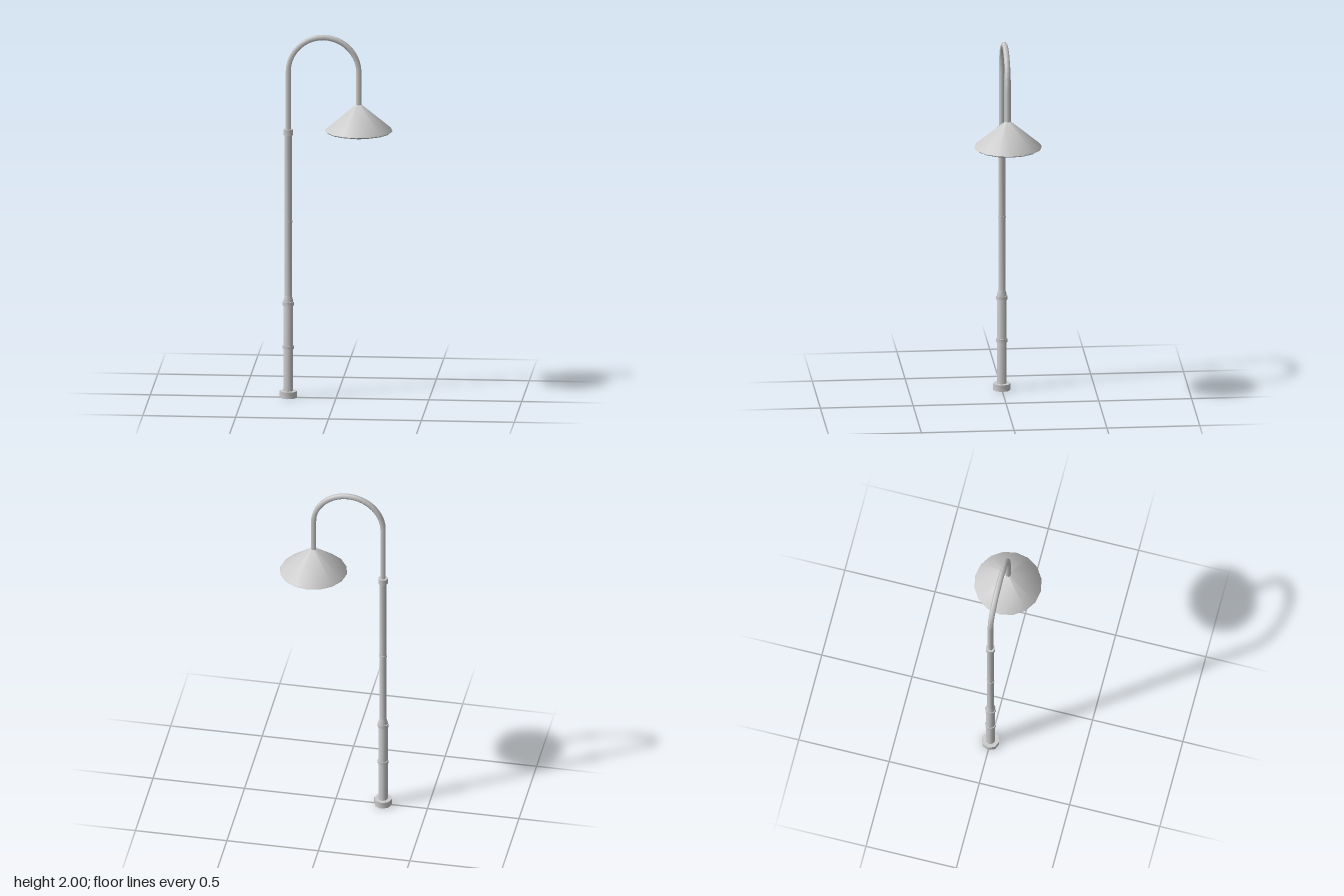
import * as THREE from 'three';
import { toCreasedNormals } from 'three/addons/utils/BufferGeometryUtils.js';

const POLE_X = -0.257, LAMP_X = 0.123;

export function createModel() {
  const group = new THREE.Group();
  const material = new THREE.MeshStandardMaterial({ color: 0xcccccc });

  const add = (name, geometry, x = 0, y = 0) => {
    const mesh = new THREE.Mesh(geometry, material);
    mesh.name = name;
    mesh.position.set(x, y, 0);
    group.add(mesh);
    return mesh;
  };
  // Revolved part from [radius, height] pairs, listed so the outside climbs upward
  const turned = (name, x, sides, profile) => {
    const points = profile.map(([r, y]) => new THREE.Vector2(r, y));
    add(name, toCreasedNormals(new THREE.LatheGeometry(points, sides), 0.85), x);
  };
  const band = (name, r, y0, y1) =>
    turned(name, POLE_X, 8, [[0, y0], [r, y0], [r, y1], [0, y1]]);

  // Foot, hollow underneath
  turned('base', POLE_X, 8, [[0, 0.025], [0.036, 0.025], [0.036, 0], [0.048, 0],
    [0.048, 0.036], [0, 0.036]]);

  // Thick lower column with a tapered shoulder, then the slim pole
  turned('lowerColumn', POLE_X, 8, [[0.026, 0.03], [0.026, 0.535], [0.019, 0.562]]);
  turned('pole', POLE_X, 8, [[0.019, 0.55], [0.019, 1.46]]);

  // Bands around the column and pole
  band('lowerBand', 0.030, 0.267, 0.287);
  band('shoulderBand', 0.030, 0.505, 0.526);
  band('middleBand', 0.0215, 0.964, 0.974);
  band('topCollar', 0.026, 1.443, 1.476);

  // Hook-shaped arm: straight, half circle, straight
  const radius = (LAMP_X - POLE_X) / 2, arcY = 1.795, steps = 20;
  const path = new THREE.CurvePath();
  const v = (x, y) => new THREE.Vector3(x, y, 0);
  const arc = [];
  for (let i = 0; i <= steps; i++) {
    const a = Math.PI * (1 - i / steps);
    arc.push(v((LAMP_X + POLE_X) / 2 + radius * Math.cos(a), arcY + radius * Math.sin(a)));
  }
  path.add(new THREE.LineCurve3(v(POLE_X, 1.46), arc[0]));
  for (let i = 0; i < steps; i++) path.add(new THREE.LineCurve3(arc[i], arc[i + 1]));
  path.add(new THREE.LineCurve3(arc[steps], v(LAMP_X, 1.60)));
  add('arm', new THREE.TubeGeometry(path, 80, 0.0155, 6, false));

  // Conical shade with a stepped inside and a thin bevelled rim
  turned('shade', LAMP_X, 16, [[0, 1.585], [0.04, 1.585], [0.045, 1.567], [0.06, 1.567],
    [0.066, 1.553], [0.165, 1.478], [0.172, 1.468], [0.182, 1.475], [0.178, 1.482],
    [0.016, 1.618], [0, 1.62]]);

  // Socket and bulb
  turned('socket', LAMP_X, 8, [[0, 1.5], [0.022, 1.5], [0.022, 1.55], [0.032, 1.55], [0.032, 1.59]]);
  add('bulb', new THREE.SphereGeometry(0.043, 12, 8), LAMP_X, 1.47);

  return group;
}
